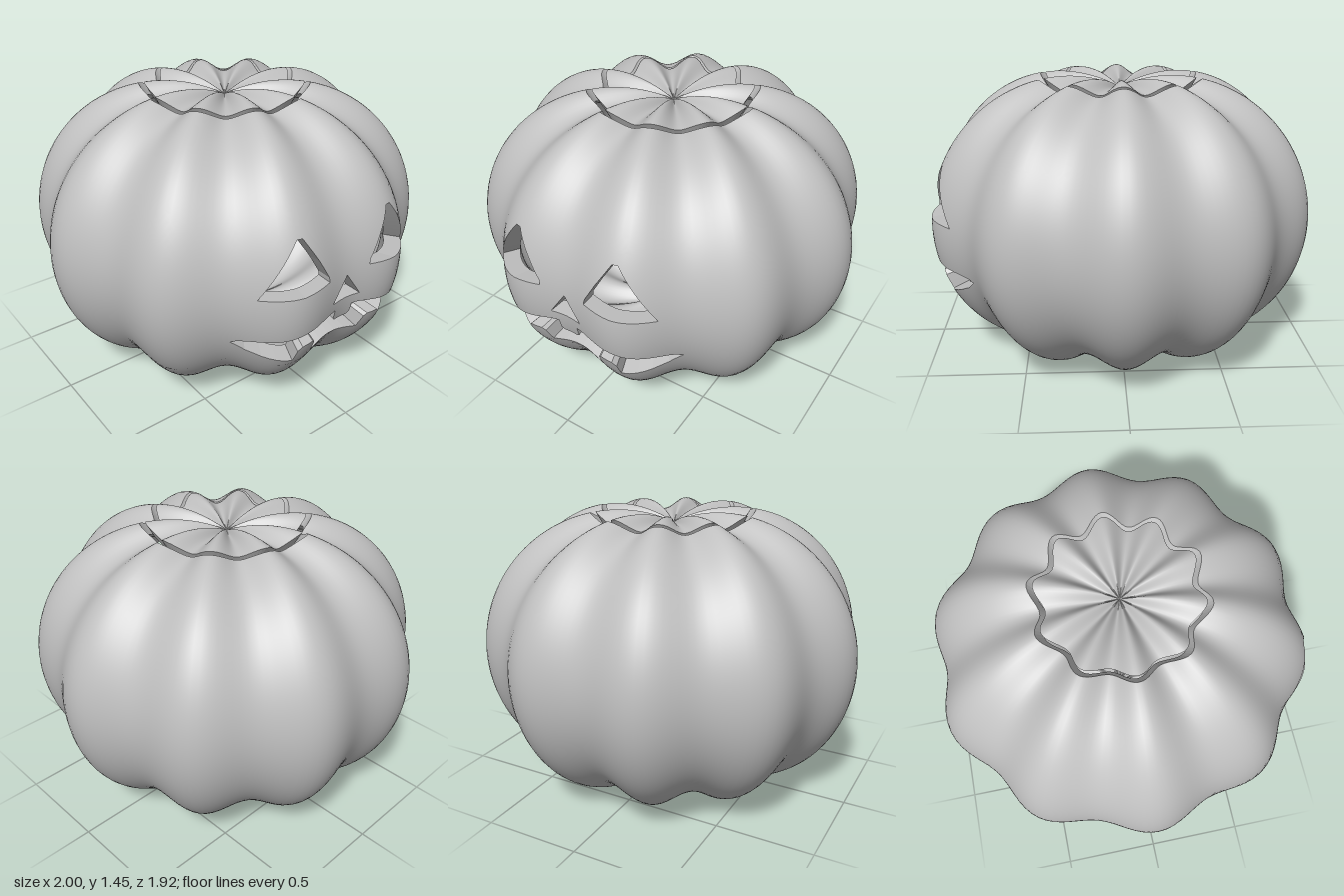
import * as THREE from 'three';

const MID = 0.725;                    // height of the widest point, centre of the shell
const POLE = Math.acos(-0.3 / 0.7);   // profile angle where the ribs meet on the axis
const RIM = 1.42;                     // v value of the lid cut
const INNER = 0.91;                   // scale of the inside skin
const STEP = 0.05;                    // longest edge in the carved front of the (u, v) map
const AROUND = 160;                   // columns round the whole shell
const FRONT_U = Math.PI * 0.4, FRONT_V = 0.64;  // half size of the carved front

// Ribbed skin: u is the angle round from the front, a the angle up the profile
function skin(u, a, scale = 1) {
  const rho = 0.3 + 0.7 * Math.cos(a);
  const groove = 0.039 * (1 + Math.cos(10 * u)) * rho / (rho + 0.12);
  const r = rho - groove * Math.cos(a);
  const y = 0.725 * Math.sin(a) - groove * Math.sin(a);
  return new THREE.Vector3(r * Math.sin(u) * scale, MID + y * scale, r * Math.cos(u) * scale);
}

// Wavy cut around the lid, as a profile angle
const cut = (u, radius) => Math.acos((radius - 0.025 * Math.cos(10 * u) - 0.3) / 0.7);

function bodyMap(u, v, scale) {
  const a = v < 1 ? v : 1 + (v - 1) / (RIM - 1) * (cut(u, 0.405) - 1);
  return skin(u, a, scale);
}

function lidMap(u, v, scale) {
  const t = (v - RIM) / (POLE - RIM);
  return skin(u, THREE.MathUtils.lerp(cut(u, 0.377), POLE, t), scale);
}

// Finds the (u, v) of a front-facing point (x, y)
function project([x, y]) {
  let u = Math.asin(x / 0.97), v = Math.asin((y - MID) / 0.725);
  for (let i = 0; i < 40; i++) {
    const p = skin(u, v);
    u += (x - p.x) * 0.9;
    v += (y - p.y) * 1.1;
  }
  return new THREE.Vector2(u, v);
}

const middle = (a, b) => new THREE.Vector2((a.x + b.x) / 2, (a.y + b.y) / 2);

// Halves the longest edge until every edge is short
function split(a, b, c, out) {
  const ab = a.distanceTo(b), bc = b.distanceTo(c), ca = c.distanceTo(a);
  const most = Math.max(ab, bc, ca);
  if (most <= STEP) { out.push(a, b, c); return; }
  if (bc === most) [a, b, c] = [b, c, a];
  else if (ca === most) [a, b, c] = [c, a, b];
  const m = middle(a, b);
  split(a, m, c, out);
  split(m, b, c, out);
}

function splitEdge(a, b, out) {
  if (a.distanceTo(b) <= STEP) { out.push([a, b]); return; }
  const m = middle(a, b);
  splitEdge(a, m, out);
  splitEdge(m, b, out);
}

// Regular (u, v) grid of triangles
function grid(u0, u1, v0, v1, rows) {
  const out = [], columns = Math.round((u1 - u0) / (2 * Math.PI) * AROUND);
  const at = (i, j) => new THREE.Vector2(u0 + (u1 - u0) * i / columns, v0 + (v1 - v0) * j / rows);
  for (let i = 0; i < columns; i++) {
    for (let j = 0; j < rows; j++) {
      const a = at(i, j), b = at(i + 1, j), c = at(i + 1, j + 1), d = at(i, j + 1);
      out.push(a, b, c, a, c, d);
    }
  }
  return out;
}

// Carved front of the (u, v) map, with holes
function carvedFront(holes) {
  const contour = [[-1, -1], [1, -1], [1, 1], [-1, 1]].map(([x, y]) => new THREE.Vector2(x * FRONT_U, y * FRONT_V));
  const all = [contour, ...holes].flat();
  const out = [];
  for (const face of THREE.ShapeUtils.triangulateShape(contour, holes)) {
    const t = face.map(i => all[i]);
    if (THREE.ShapeUtils.area(t) < 0) t.reverse();
    split(t[0], t[1], t[2], out);
  }
  return out;
}

// Outer or inner skin over a set of triangles, with smooth normals
function skinGeometry(points, map, inside) {
  const positions = [], normals = [], e = 0.002;
  for (let i = 0; i < points.length; i += 3) {
    const tri = points.slice(i, i + 3);
    if (inside) tri.reverse();
    for (const p of tri) {
      positions.push(...map(p.x, p.y, inside ? INNER : 1).toArray());
      const v = THREE.MathUtils.clamp(p.y, -POLE + 0.01, POLE - 0.01);
      const du = map(p.x + e, v, 1).sub(map(p.x - e, v, 1));
      const dv = map(p.x, v + e, 1).sub(map(p.x, v - e, 1));
      normals.push(...du.cross(dv).normalize().multiplyScalar(inside ? -1 : 1).toArray());
    }
  }
  const g = new THREE.BufferGeometry();
  g.setAttribute('position', new THREE.Float32BufferAttribute(positions, 3));
  g.setAttribute('normal', new THREE.Float32BufferAttribute(normals, 3));
  return g;
}

// Cut wall joining the outer and inner skins, facing left of the path
function wallGeometry(path, map, closed) {
  const edges = [], positions = [];
  const count = closed ? path.length : path.length - 1;
  for (let i = 0; i < count; i++) splitEdge(path[i], path[(i + 1) % path.length], edges);
  for (const [a, b] of edges) {
    const A = map(a.x, a.y, 1), B = map(b.x, b.y, 1);
    const C = map(a.x, a.y, INNER), D = map(b.x, b.y, INNER);
    for (const p of [A, B, C, B, D, C]) positions.push(p.x, p.y, p.z);
  }
  const g = new THREE.BufferGeometry();
  g.setAttribute('position', new THREE.Float32BufferAttribute(positions, 3));
  g.computeVertexNormals();
  return g;
}

const mirror = points => points.map(([x, y]) => [-x, y]).reverse();

export function createModel() {
  const model = new THREE.Group();
  model.name = 'carvedPumpkin';
  const grey = new THREE.MeshStandardMaterial({ color: 0xc0c0c0 });
  grey.name = 'plainGrey';

  function add(parent, name, geometry) {
    const mesh = new THREE.Mesh(geometry, grey);
    mesh.name = name;
    parent.add(mesh);
  }

  // Carved openings as front outlines
  const eye = [[0.455, 0.775], [0.285, 1.04], [0.258, 1.04], [0.19, 0.925], [0.13, 0.82], [0.127, 0.795], [0.28, 0.782]];
  const nose = [[0, 0.775], [-0.085, 0.65], [0.085, 0.65]];
  const halfMouth = [
    [0.053, 0.545], [0.053, 0.597], [0.09, 0.595], [0.18, 0.578], [0.28, 0.56], [0.4, 0.54], [0.5, 0.527], [0.522, 0.518],
    [0.46, 0.467], [0.4, 0.43], [0.34, 0.403], [0.265, 0.38], [0.265, 0.455], [0.245, 0.478], [0.18, 0.48],
    [0.163, 0.465], [0.15, 0.392], [0.08, 0.408], [0.02, 0.415],
  ];
  const mouth = [[0.038, 0.53], ...halfMouth, ...mirror(halfMouth), [-0.038, 0.53]];
  const openings = { leftEye: eye, rightEye: mirror(eye), nose, mouth };
  for (const key in openings) {
    openings[key] = openings[key].map(project);
    if (THREE.ShapeUtils.isClockWise(openings[key])) openings[key].reverse();
  }

  // Hollow body with its carved walls
  const body = new THREE.Group();
  body.name = 'body';
  const P = Math.PI;
  const parts = {
    front: carvedFront(Object.values(openings)),
    back: grid(FRONT_U, 2 * P - FRONT_U, -FRONT_V, FRONT_V, 32),
    base: grid(-P, P, -POLE, -FRONT_V, 28),
    shoulder: grid(-P, P, FRONT_V, RIM, 20),
  };
  for (const key in parts) {
    add(body, key + 'Outside', skinGeometry(parts[key], bodyMap, false));
    add(body, key + 'Inside', skinGeometry(parts[key], bodyMap, true));
  }
  for (const key in openings) add(body, key + 'Wall', wallGeometry(openings[key], bodyMap, true));
  const rim = Array.from({ length: AROUND + 1 }, (_, i) => new THREE.Vector2(-P + 2 * P * i / AROUND, RIM));
  add(body, 'bodyRim', wallGeometry(rim, bodyMap, false));

  // Separate lid sitting in the cut
  const lid = new THREE.Group();
  lid.name = 'lid';
  const lidPoints = grid(-P, P, RIM, POLE, 14);
  add(lid, 'lidTop', skinGeometry(lidPoints, lidMap, false));
  add(lid, 'lidUnderside', skinGeometry(lidPoints, lidMap, true));
  add(lid, 'lidEdge', wallGeometry([...rim].reverse(), lidMap, false));

  model.add(body, lid);
  return model;
}
